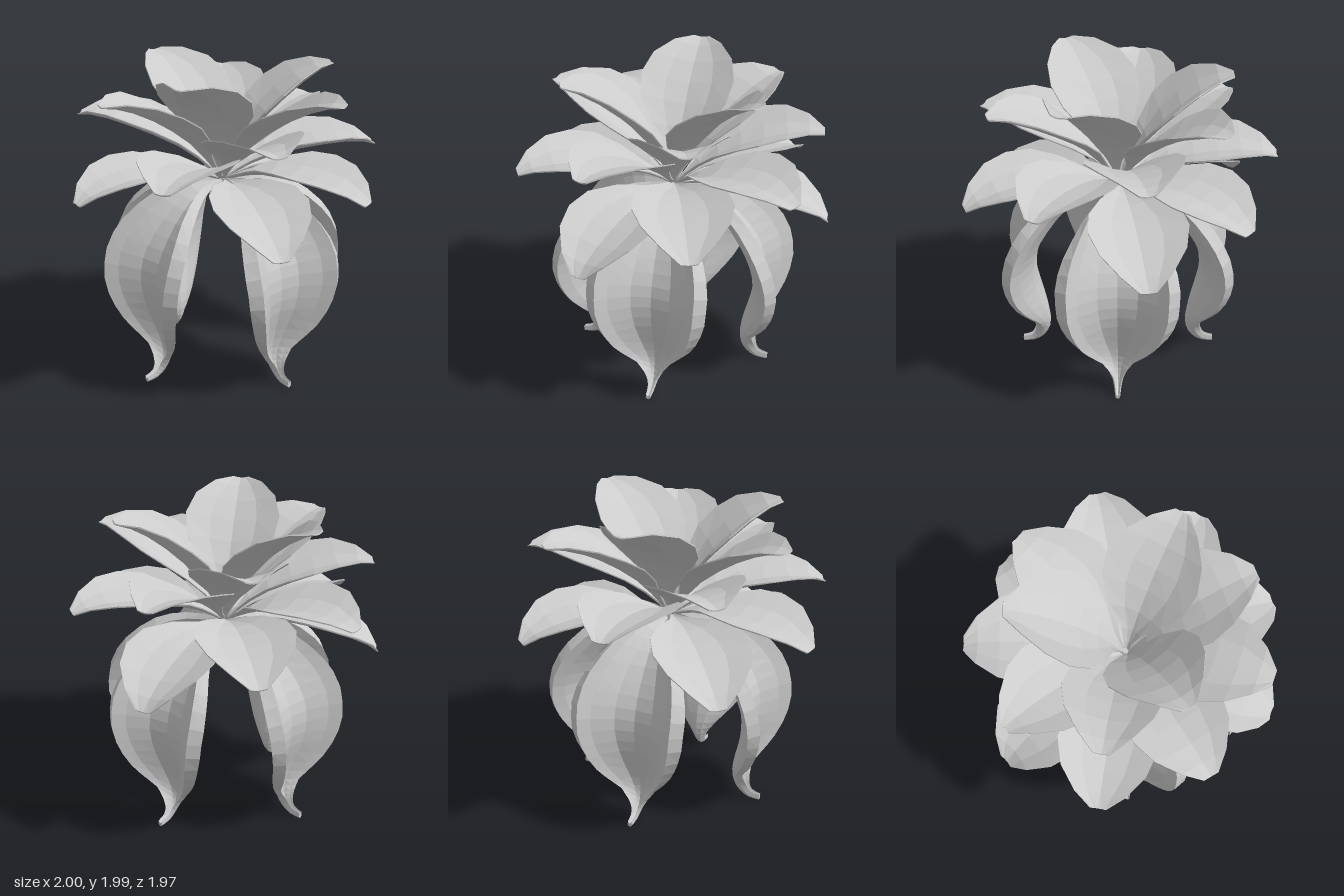
import * as THREE from 'three';

const material = new THREE.MeshStandardMaterial({ color: 0xcccccc, flatShading: true, side: THREE.DoubleSide });

// Thin cupped leaf lofted outward along +z.
// rows: [z, y, half width, rise of the rim above the midrib]; across: 0..1 positions of the creases.
// bevel: how far the upper skin is narrower, and the lower skin shallower, at the rim.
function blade(rows, steps, across, power, thickness, bevel) {
  const spine = new THREE.CatmullRomCurve3(rows.map(([z, y]) => new THREE.Vector3(0, y, z)));
  const size = new THREE.CatmullRomCurve3(rows.map(([, , w, c]) => new THREE.Vector3(w, c, 0)));
  const vs = [...across.slice(1).reverse().map(v => -v), ...across];
  const rings = [];
  for (let i = 0; i <= steps; i++) {
    const t = i / steps;
    const p = spine.getPoint(t), s = size.getPoint(t), d = spine.getTangent(t);
    const normal = new THREE.Vector3(0, d.z, -d.y);
    const at = (v, width, cup, drop) => p.clone()
      .addScaledVector(normal, cup * Math.abs(v) ** power - drop)
      .add(new THREE.Vector3(width * v, 0, 0));
    rings.push([
      ...vs.map(v => at(v, s.x * (1 - bevel), s.y, 0)),
      ...[...vs].reverse().map(v => at(v, s.x, s.y * (1 - bevel), thickness)),
    ]);
  }
  const n = rings[0].length, points = [];
  for (let i = 0; i < steps; i++) {
    for (let j = 0; j < n; j++) {
      const k = (j + 1) % n;
      const a = rings[i][j], b = rings[i][k], c = rings[i + 1][k], d = rings[i + 1][j];
      points.push(a, d, c, a, c, b);
    }
  }
  // End caps, joining the upper skin to the lower one
  for (let j = 0; j < vs.length - 1; j++) {
    const [s, e] = [rings[0], rings[steps]];
    const k = n - 1 - j;
    points.push(s[j], s[j + 1], s[k - 1], s[j], s[k - 1], s[k]);
    points.push(e[j], e[k - 1], e[j + 1], e[j], e[k], e[k - 1]);
  }
  const geometry = new THREE.BufferGeometry().setFromPoints(points);
  geometry.computeVertexNormals();
  return geometry;
}

export function createModel() {
  const model = new THREE.Group();
  const add = (parent, geometry, name) => {
    const mesh = new THREE.Mesh(geometry, material);
    mesh.name = name;
    parent.add(mesh);
    return mesh;
  };

  // Four arching leaves, hollow on the outside, that stand on curled tips
  const legs = new THREE.Group();
  legs.name = 'legLeaves';
  legs.position.set(0.01, 0, 0.02);
  model.add(legs);
  const legGeometry = blade([
    [0.03, 1.23, 0.02, 0.03], [0.2, 1.19, 0.11, 0.08], [0.33, 1.1, 0.22, 0.14],
    [0.46, 0.94, 0.335, 0.18], [0.54, 0.79, 0.385, 0.185], [0.565, 0.65, 0.375, 0.18],
    [0.55, 0.5, 0.315, 0.16], [0.51, 0.35, 0.22, 0.125], [0.485, 0.22, 0.12, 0.075],
    [0.49, 0.13, 0.065, 0.07], [0.525, 0.065, 0.035, 0.055], [0.58, 0.03, 0.022, 0.03],
    [0.65, 0.025, 0.015, 0.015],
  ], 24, [0, 0.4, 0.8, 1], 2.1, 0.025, 0.18);
  for (let i = 0; i < 4; i++) {
    add(legs, legGeometry, 'legLeaf').rotation.y = i * Math.PI / 2;
  }

  // Six whorls of three petals, each whorl lower and turned 40 degrees
  const petals = new THREE.Group();
  petals.name = 'petals';
  petals.position.set(0.005, 1.25, 0.01);
  model.add(petals);
  const petalGeometry = blade([
    [0.02, 0, 0.015, 0.01], [0.1, 0.03, 0.025, 0.015], [0.2, 0.06, 0.065, 0.03],
    [0.34, 0.09, 0.18, 0.065], [0.5, 0.1, 0.28, 0.09], [0.65, 0.095, 0.305, 0.09],
    [0.8, 0.075, 0.26, 0.08], [0.93, 0.04, 0.155, 0.05], [1.015, 0.0, 0.05, 0.01],
  ], 8, [0, 0.5, 1], 1.7, 0.008, 0);
  for (let whorl = 0; whorl < 6; whorl++) {
    for (let i = 0; i < 3; i++) {
      const petal = add(petals, petalGeometry, 'petal');
      const turn = 60 - whorl * 40 - i * 120;
      const pitch = 46 - whorl * 11.75;
      petal.rotation.set(
        -THREE.MathUtils.degToRad(pitch), THREE.MathUtils.degToRad(turn), 0, 'YXZ');
    }
  }

  // Small hub where everything meets
  const hub = add(model, new THREE.CylinderGeometry(0.02, 0.04, 0.08, 6), 'hub');
  hub.position.set(0.005, 1.25, 0.01);
  return model;
}
